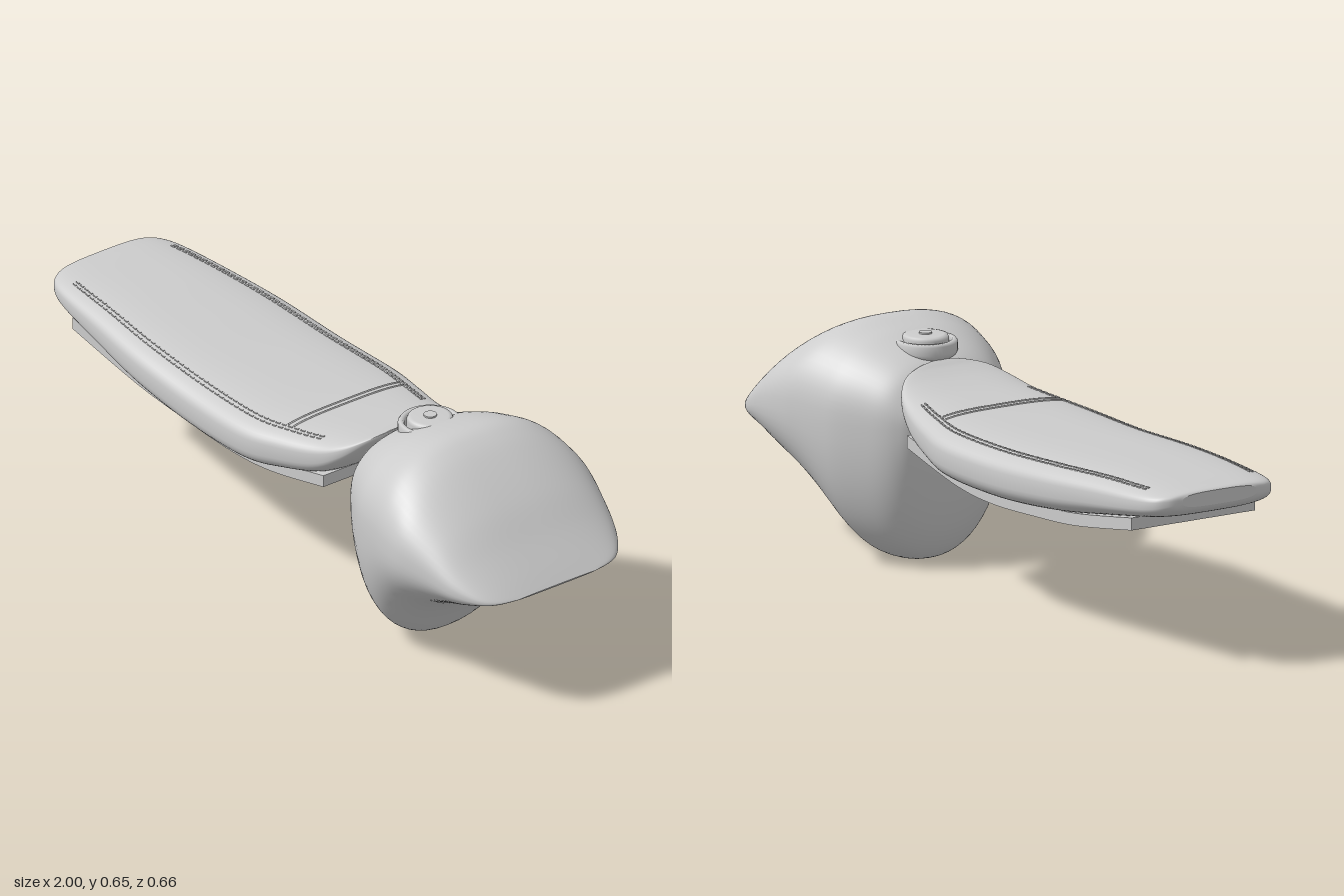
import * as THREE from 'three';
import { mergeGeometries } from 'three/addons/utils/BufferGeometryUtils.js';

// Catmull-Rom sample of a table of rows at t in 0..rows-1
function sample(rows, t) {
  const i = Math.min(Math.floor(t), rows.length - 2), f = t - i;
  const at = k => rows[Math.max(0, Math.min(rows.length - 1, k))];
  return rows[0].map((_, c) => {
    const [a, b, d, e] = [at(i - 1)[c], at(i)[c], at(i + 1)[c], at(i + 2)[c]];
    const m0 = (d - a) / 2, m1 = (e - b) / 2;
    return b + m0 * f + (3 * (d - b) - 2 * m0 - m1) * f * f + (2 * (b - d) + m0 + m1) * f * f * f;
  });
}

// Row whose first value is x
function rowAt(rows, x) {
  let lo = 0, hi = rows.length - 1;
  for (let k = 0; k < 30; k++) {
    const m = (lo + hi) / 2;
    if (sample(rows, m)[0] < x) lo = m; else hi = m;
  }
  return sample(rows, lo);
}

// Skin of rounded cross-sections along x; rows are [x, top, bottom, widest y, half width]
function loft(rows, nTop, nBottom, sides = 64, steps = 6) {
  const pos = [], idx = [];
  const count = (rows.length - 1) * steps;
  for (let i = 0; i <= count; i++) {
    const [x, top, bot, mid, w] = sample(rows, i / steps);
    for (let j = 0; j < sides; j++) {
      const a = (j / sides) * Math.PI * 2, c = Math.cos(a), s = Math.sin(a);
      const p = 2 / (s >= 0 ? nTop : nBottom);
      const h = s >= 0 ? top - mid : bot - mid;
      pos.push(x, mid + h * Math.abs(s) ** p, w * Math.sign(c) * Math.abs(c) ** p);
    }
  }
  for (let i = 0; i < count; i++) for (let j = 0; j < sides; j++) {
    const k = (j + 1) % sides, a = i * sides, b = a + sides;
    idx.push(a + j, b + j, b + k, a + j, b + k, a + k);
  }
  // flat end caps
  for (const [row, flip] of [[0, false], [count, true]]) {
    const base = pos.length / 3;
    for (let j = 0; j < sides; j++) {
      const o = (row * sides + j) * 3;
      pos.push(pos[o], pos[o + 1], pos[o + 2]);
    }
    const r = rows[flip ? rows.length - 1 : 0];
    pos.push(r[0], r[3], 0);
    for (let j = 0; j < sides; j++) {
      const k = (j + 1) % sides;
      idx.push(base + sides, base + (flip ? k : j), base + (flip ? j : k));
    }
  }
  const g = new THREE.BufferGeometry();
  g.setAttribute('position', new THREE.Float32BufferAttribute(pos, 3));
  g.setIndex(idx);
  g.computeVertexNormals();
  return g;
}

const TANK = [
  [0.295, 0.46, 0.36, 0.41, 0.08],
  [0.305, 0.49, 0.28, 0.41, 0.14],
  [0.325, 0.525, 0.17, 0.41, 0.175],
  [0.355, 0.565, 0.08, 0.41, 0.205],
  [0.40, 0.595, 0.02, 0.41, 0.235],
  [0.47, 0.625, 0.002, 0.41, 0.275],
  [0.525, 0.642, 0.02, 0.41, 0.295],
  [0.60, 0.655, 0.105, 0.415, 0.315],
  [0.66, 0.638, 0.165, 0.415, 0.327],
  [0.73, 0.595, 0.212, 0.413, 0.33],
  [0.82, 0.525, 0.255, 0.395, 0.308],
  [0.90, 0.448, 0.295, 0.372, 0.281],
  [0.96, 0.392, 0.328, 0.358, 0.24],
  [0.988, 0.365, 0.343, 0.353, 0.195],
  [1.0, 0.353, 0.349, 0.351, 0.13],
];

const SEAT = [
  [-1.0, 0.505, 0.465, 0.485, 0.12],
  [-0.99, 0.51, 0.452, 0.482, 0.16],
  [-0.96, 0.513, 0.436, 0.476, 0.193],
  [-0.89, 0.517, 0.42, 0.468, 0.215],
  [-0.72, 0.519, 0.39, 0.455, 0.238],
  [-0.52, 0.512, 0.358, 0.44, 0.261],
  [-0.28, 0.502, 0.338, 0.425, 0.271],
  [-0.05, 0.503, 0.343, 0.427, 0.274],
  [0.08, 0.511, 0.365, 0.442, 0.25],
  [0.2, 0.523, 0.4, 0.465, 0.217],
  [0.28, 0.54, 0.462, 0.503, 0.186],
  [0.33, 0.558, 0.525, 0.542, 0.142],
  [0.352, 0.57, 0.553, 0.562, 0.09],
  [0.362, 0.576, 0.569, 0.573, 0.04],
];

// Point on the top of the seat at x and at a fraction f of its half width
function seatTop(x, f) {
  const [, top, , mid, w] = rowAt(SEAT, x);
  return new THREE.Vector3(x, mid + (top - mid) * (1 - Math.abs(f) ** 3.2) ** (1 / 3.2), w * f);
}

export function createModel() {
  const group = new THREE.Group();
  const grey = new THREE.MeshStandardMaterial({ color: 0xcccccc });
  grey.name = 'light grey';
  const add = (name, geometry) => {
    const mesh = new THREE.Mesh(geometry, grey);
    mesh.name = name;
    group.add(mesh);
    return mesh;
  };

  add('fuelTank', loft(TANK, 2.5, 2.15));
  add('seatCushion', loft(SEAT, 3.2, 3.2));

  // Curved base plate under the cushion
  const under = [[-0.87, 0.39], [-0.6, 0.345], [-0.4, 0.328], [-0.18, 0.318], [0, 0.333], [0.23, 0.385]]
    .map(p => new THREE.Vector2(...p));
  const lower = new THREE.SplineCurve(under).getPoints(30);
  const upper = lower.map(p => new THREE.Vector2(p.x, p.y + 0.035)).reverse();
  const plate = new THREE.ExtrudeGeometry(new THREE.Shape([...lower, ...upper]), { depth: 0.4, bevelEnabled: false });
  add('seatBase', plate.translate(0, 0, -0.2));

  // Double rows of stitching along both edges of the cushion
  const stitches = [];
  for (const side of [-1, 1]) for (const f of [0.76, 0.81]) {
    for (let x = -0.9; x < 0.19; x += 0.022) {
      const p = seatTop(x, side * f), q = seatTop(x + 0.014, side * f);
      const m = new THREE.Matrix4().lookAt(q, p, new THREE.Vector3(0, 1, 0));
      m.setPosition(p.add(q).multiplyScalar(0.5));
      stitches.push(new THREE.BoxGeometry(0.005, 0.005, 0.014).applyMatrix4(m));
    }
  }
  add('stitching', mergeGeometries(stitches));

  // Twin piping of the cross seam
  for (const x of [0.06, 0.08]) {
    const pts = [];
    for (let f = -0.74; f < 0.75; f += 0.074) pts.push(seatTop(x, f));
    add('crossSeam', new THREE.TubeGeometry(new THREE.CatmullRomCurve3(pts), 40, 0.003, 6));
  }

  // Filler cap: collar, raised lid and lock
  const turned = pts => new THREE.LatheGeometry(pts.map(p => new THREE.Vector2(...p)), 48);
  const cap = [
    add('capCollar', turned([[0.07, 0.56], [0.085, 0.58], [0.088, 0.59], [0.088, 0.612], [0.083, 0.619],
      [0.074, 0.619], [0.07, 0.612], [0.07, 0.56]])),
    add('capLid', turned([[0.064, 0.56], [0.064, 0.622], [0.06, 0.63], [0.05, 0.632], [0, 0.633]])),
    add('capLock', new THREE.CylinderGeometry(0.018, 0.018, 0.008, 24).translate(0, 0.633, 0)),
  ];
  cap.forEach(mesh => { mesh.position.x = 0.443; });
  return group;
}
